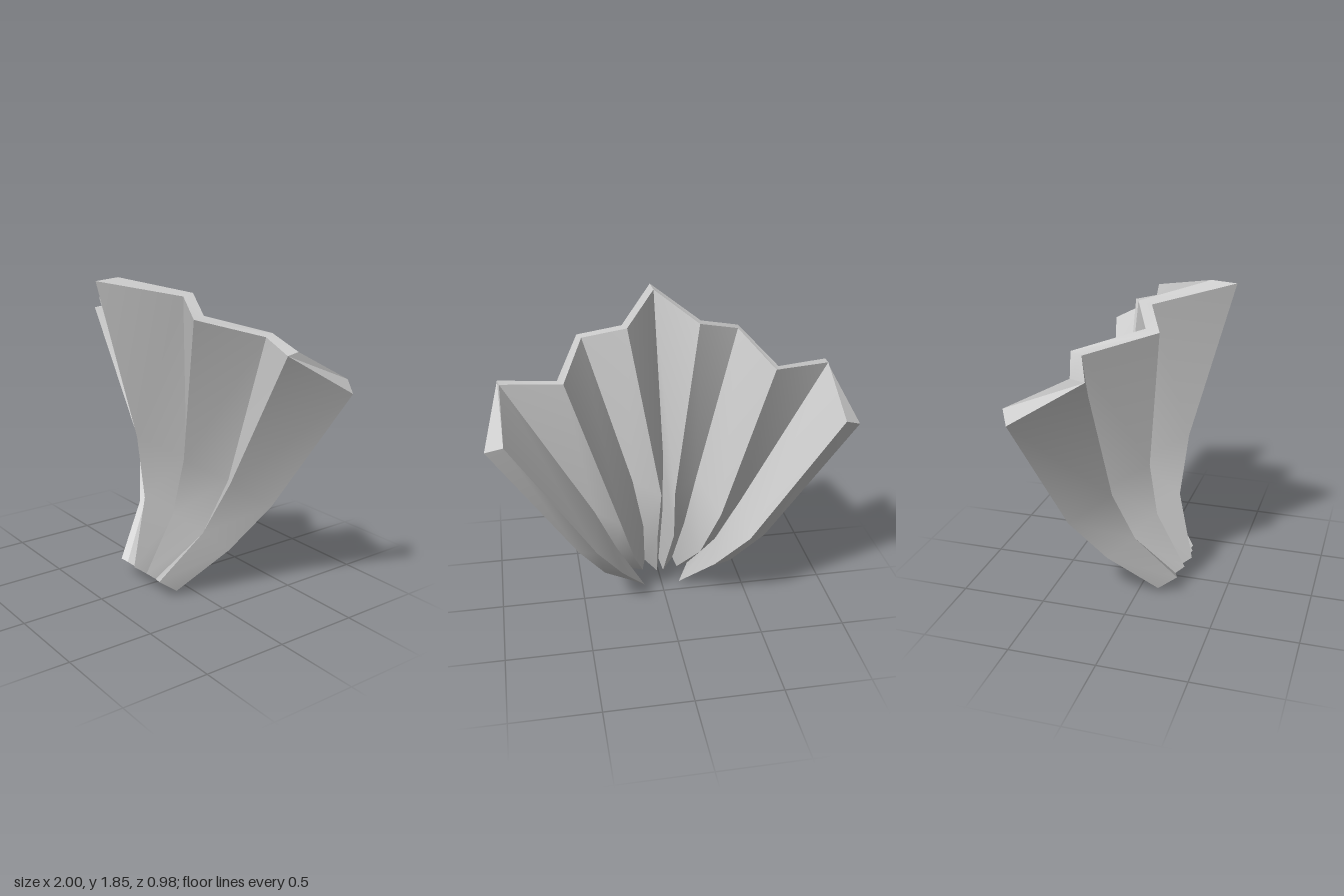
import * as THREE from 'three';
import { toCreasedNormals } from 'three/addons/utils/BufferGeometryUtils.js';

// Fold lines from the centre to the outer edge; each lists [x, y, z] from foot to top.
const FRONT = [
  [[0, 0.14, 0.27], [0, 0.56, 0.19], [0, 0.94, 0.24], [0, 1.84, 0.49]],
  [[0.02, 0.08, 0.19], [0.08, 0.45, 0.02], [0.08, 0.78, -0.05], [0.22, 1.75, 0.08]],
  [[0.1, 0.13, 0.25], [0.14, 0.48, 0.09], [0.21, 0.82, 0.065], [0.46, 1.67, 0.19]],
  [[0.12, 0.09, 0.2], [0.23, 0.35, -0.06], [0.31, 0.68, -0.18], [0.6, 1.56, -0.18]],
  [[0.2, 0.11, 0.23], [0.32, 0.4, 0.01], [0.45, 0.72, -0.08], [0.91, 1.53, -0.05]],
  [[0.22, 0.03, 0.12], [0.38, 0.28, -0.14], [0.54, 0.56, -0.31], [1, 1.3, -0.43]],
];
const BACK = [
  [[0, 0.1, 0.21], [0, 0.57, 0.05], [0, 0.96, 0.03], [0, 1.85, 0.35]],
  [[0.02, 0.05, 0.15], [0.05, 0.45, -0.07], [0.04, 0.79, -0.15], [0.2, 1.76, 0]],
  [[0.09, 0.1, 0.21], [0.125, 0.49, 0], [0.19, 0.83, -0.03], [0.44, 1.68, 0.11]],
  [[0.11, 0.06, 0.16], [0.2, 0.36, -0.13], [0.29, 0.69, -0.26], [0.57, 1.57, -0.25]],
  [[0.18, 0.07, 0.175], [0.3, 0.41, -0.08], [0.43, 0.73, -0.17], [0.9, 1.54, -0.13]],
  [[0.11, 0, 0.08], [0.28, 0.3, -0.19], [0.44, 0.58, -0.37], [0.9, 1.35, -0.49]],
];

// Mirror half a row of folds so it runs from -x to +x
function fullRow(half) {
  const mirrored = half.slice(1).reverse().map(fold => fold.map(([x, y, z]) => [-x, y, z]));
  return [...mirrored, ...half];
}

function pleatedShell() {
  const front = fullRow(FRONT), back = fullRow(BACK);
  const positions = [];
  // Corners run counter-clockwise; the diagonal is mirrored across the centre
  const quad = (a, b, c, d) => {
    const left = a[0] + b[0] + c[0] + d[0] < 0;
    const corners = left ? [a, b, d, b, c, d] : [a, b, c, a, c, d];
    for (const p of corners) positions.push(...p);
  };

  // Walls: front pleats, one edge, back pleats, other edge
  const ring = [...front, ...[...back].reverse()];
  ring.forEach((fold, i) => {
    const next = ring[(i + 1) % ring.length];
    for (let j = 0; j < 3; j++) quad(fold[j], next[j], next[j + 1], fold[j + 1]);
  });

  // Top and bottom rims
  for (let i = 0; i < front.length - 1; i++) {
    quad(front[i][3], front[i + 1][3], back[i + 1][3], back[i][3]);
    quad(back[i][0], back[i + 1][0], front[i + 1][0], front[i][0]);
  }

  const geometry = new THREE.BufferGeometry();
  geometry.setAttribute('position', new THREE.Float32BufferAttribute(positions, 3));
  return toCreasedNormals(geometry, 0.52);
}

export function createModel() {
  const group = new THREE.Group();
  group.name = 'pleatedFan';
  const shell = new THREE.Mesh(
    pleatedShell(),
    new THREE.MeshStandardMaterial({ color: 0xcccccc, side: THREE.DoubleSide })
  );
  shell.name = 'pleatedShell';
  group.add(shell);
  return group;
}
